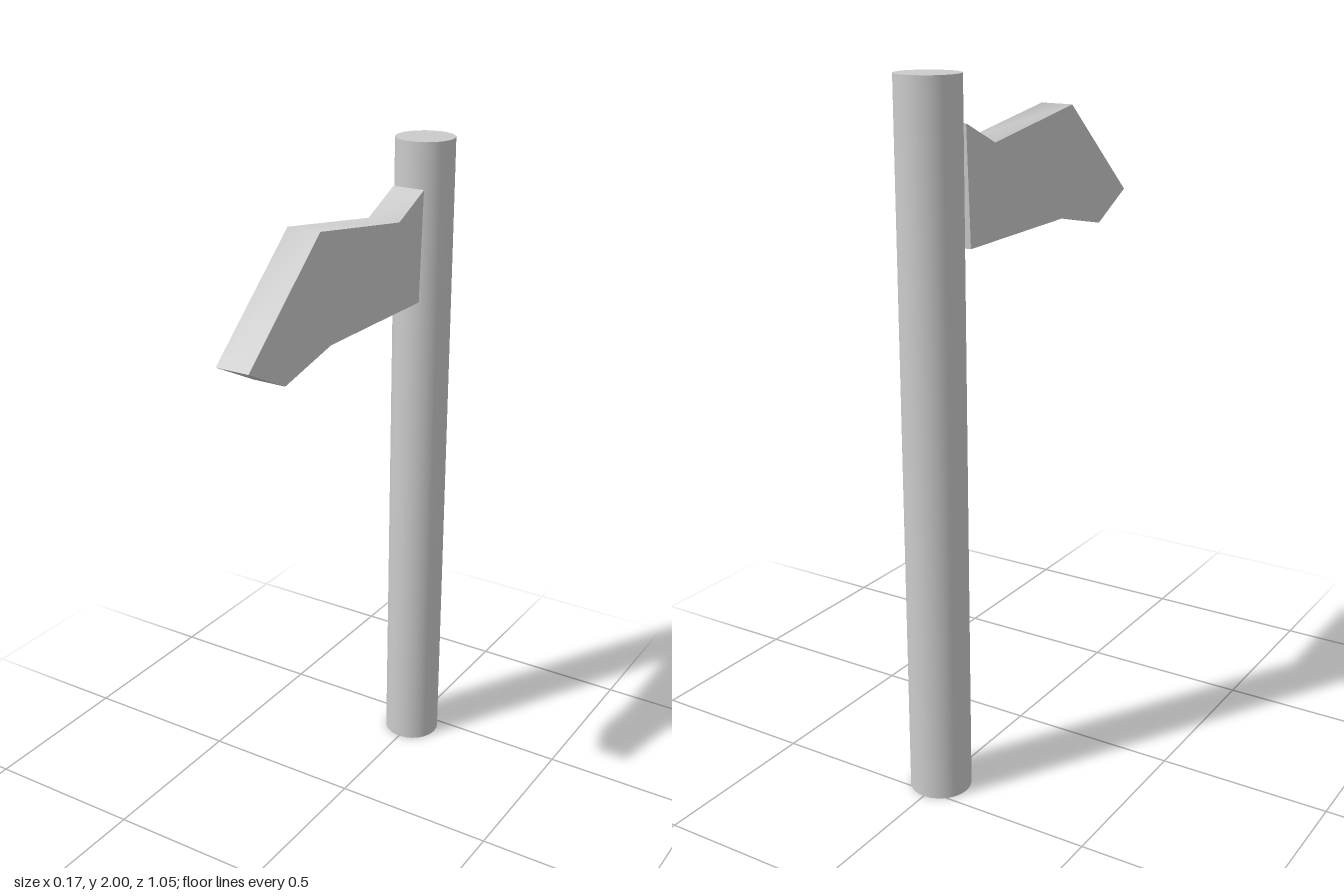
import * as THREE from 'three';
import { toCreasedNormals } from 'three/addons/utils/BufferGeometryUtils.js';

export function createModel() {
  const group = new THREE.Group();
  const material = new THREE.MeshStandardMaterial({ color: 0xcccccc });

  // Upright round pole at the back
  const pole = new THREE.Mesh(new THREE.CylinderGeometry(0.0875, 0.0875, 2, 24), material);
  pole.name = 'pole';
  pole.position.set(0, 1, -0.4375);
  group.add(pole);

  // Blade outline as (z, y), counter-clockwise from the tip
  const outline = [
    [0.525, 1.587], [0.197, 1.87], [-0.207, 1.807], [-0.344, 1.87],
    [-0.328, 1.545], [0.148, 1.553], [0.367, 1.506],
  ].map(([z, y]) => new THREE.Vector2(z, y));

  // Flat blade, extruded across x and softly shaded along its rim
  const width = 0.1;
  const bladeGeometry = new THREE.ExtrudeGeometry(new THREE.Shape(outline), {
    depth: width,
    bevelEnabled: false,
  });
  bladeGeometry.rotateY(-Math.PI / 2);
  bladeGeometry.translate(width / 2, 0, 0);
  const blade = new THREE.Mesh(toCreasedNormals(bladeGeometry, 1.0), material);
  blade.name = 'blade';
  group.add(blade);

  return group;
}
